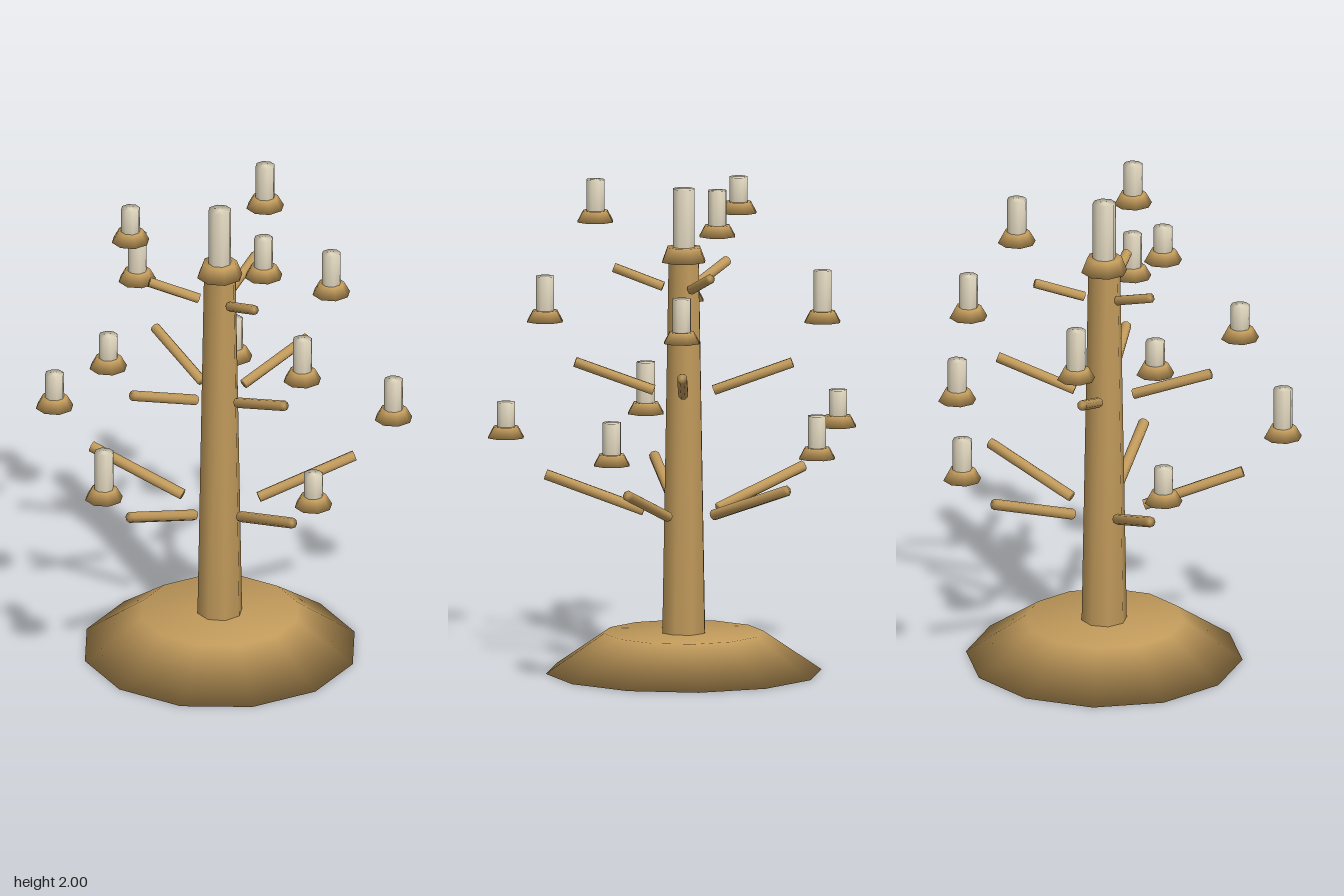
import * as THREE from 'three';
import { mergeVertices } from 'three/addons/utils/BufferGeometryUtils.js';

const AXIS_X = -0.07; // trunk axis

export function createModel() {
  const model = new THREE.Group();
  model.name = 'candleTree';
  const wood = new THREE.MeshStandardMaterial({ color: 0xc19a5b });
  const wax = new THREE.MeshStandardMaterial({ color: 0xe6dcc3 });

  // low-poly frustum whose normals run smoothly over the rims
  function frustum(rTop, rBottom, height, sides) {
    const g = new THREE.CylinderGeometry(rTop, rBottom, height, sides);
    g.deleteAttribute('normal');
    g.deleteAttribute('uv');
    const merged = mergeVertices(g, 1e-4);
    merged.computeVertexNormals();
    return merged;
  }

  // upright part standing between two heights
  function upright(name, material, x, z, y0, y1, rBottom, rTop, sides = 8) {
    const mesh = new THREE.Mesh(frustum(rTop, rBottom, y1 - y0, sides), material);
    mesh.name = name;
    mesh.position.set(x, (y0 + y1) / 2, z);
    model.add(mesh);
  }

  // straight round branch between two points
  function branch(from, to, radius) {
    const dir = to.clone().sub(from);
    const mesh = new THREE.Mesh(frustum(radius, radius, dir.length(), 8), wood);
    mesh.name = 'branch';
    mesh.position.copy(from).add(to).multiplyScalar(0.5);
    mesh.quaternion.setFromUnitVectors(new THREE.Vector3(0, 1, 0), dir.normalize());
    model.add(mesh);
  }

  // foot, trunk and the large candle at the top
  upright('base', wood, AXIS_X, 0, 0, 0.16, 0.555, 0.32, 12);
  upright('trunk', wood, AXIS_X, 0, 0.15, 1.67, 0.092, 0.065);
  upright('topHolder', wood, AXIS_X, 0, 1.66, 1.72, 0.093, 0.07);
  upright('topCandle', wax, AXIS_X, 0, 1.71, 1.955, 0.047, 0.047);

  // rings of branches with floating candle holders; tops gives each candle's upper end
  const tiers = [
    { start: 0, inner: 0.16, outer: 0.555, y0: 0.65, y1: 0.79, r: 0.022,
      reach: 0.715, holderY: 0.937, tops: [1.11, 1.11, 1.085, 1.145, 1.08] },
    { start: 0.4, inner: 0.12, outer: 0.435, y0: 1.14, y1: 1.253, r: 0.021,
      reach: 0.555, holderY: 1.417, tops: [1.595, 1.625, 1.56, 1.6] },
    { start: 0.8, inner: 0.083, outer: 0.282, y0: 1.558, y1: 1.63, r: 0.02,
      reach: 0.357, holderY: 1.815, tops: [2.0, 1.96, 1.985] },
  ];
  for (const t of tiers) {
    t.tops.forEach((top, i) => {
      const a = t.start + (i / t.tops.length) * Math.PI * 2;
      const at = (radius, y) =>
        new THREE.Vector3(AXIS_X + radius * Math.cos(a), y, -radius * Math.sin(a));
      branch(at(t.inner, t.y0), at(t.outer, t.y1), t.r);
      const p = at(t.reach, 0);
      upright('candleHolder', wood, p.x, p.z, t.holderY, t.holderY + 0.045, 0.077, 0.052);
      upright('candle', wax, p.x, p.z, t.holderY + 0.035, top, 0.039, 0.039);
    });
  }
  return model;
}
